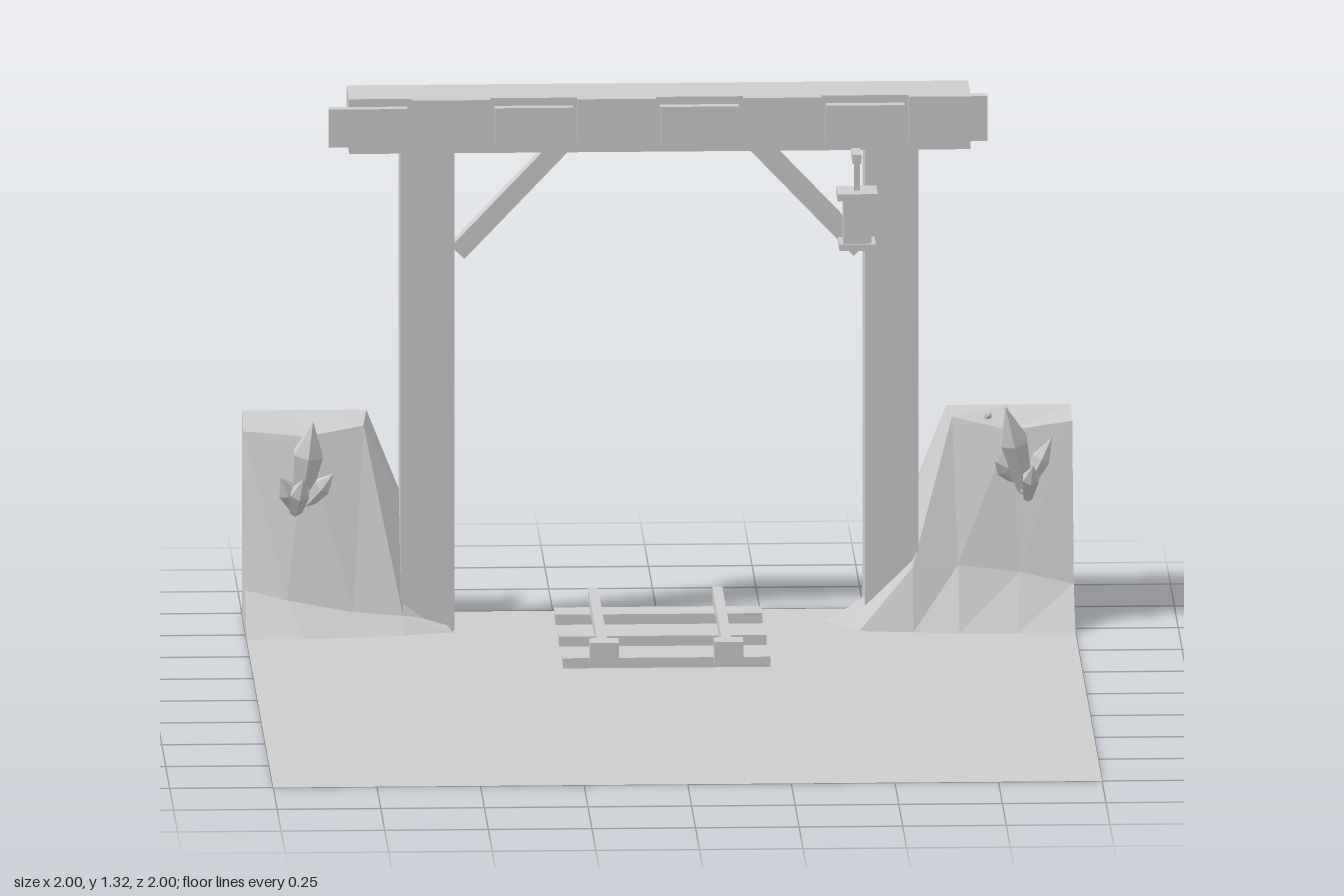
import * as THREE from 'three';

export function createModel() {
  const root = new THREE.Group();
  const stone = new THREE.MeshStandardMaterial({ color: 0xcccccc, flatShading: true, side: THREE.DoubleSide });
  stone.name = 'plain grey';

  const add = (name, geometry, parent = root) => {
    const mesh = new THREE.Mesh(geometry, stone);
    mesh.name = name;
    parent.add(mesh);
    return mesh;
  };
  const group = (name) => {
    const g = new THREE.Group();
    g.name = name;
    root.add(g);
    return g;
  };
  // box given by its limits on each axis
  const box = (name, [x0, x1], [y0, y1], [z0, z1], parent) => {
    const m = add(name, new THREE.BoxGeometry(x1 - x0, y1 - y0, z1 - z0), parent);
    m.position.set((x0 + x1) / 2, (y0 + y1) / 2, (z0 + z1) / 2);
    return m;
  };

  // rock cross-sections from the outer edge inward: back crest, front crest, lower slope, foot
  const leftRock = [
    [[1, 0.5, -1], [1, 0.48, -0.9], [1, 0.1, -0.8], [1, 0, -0.7]],
    [[0.85, 0.5, -1], [0.85, 0.46, -0.89], [0.87, 0.13, -0.8], [0.86, 0, -0.7]],
    [[0.7, 0.5, -1], [0.71, 0.49, -0.91], [0.72, 0.15, -0.79], [0.72, 0, -0.7]],
    [[0.6, 0.25, -1], [0.61, 0.27, -0.9], [0.61, 0.15, -0.77], [0.61, 0, -0.72]],
    [[0.5, 0, -1], [0.49, 0.04, -0.92], [0.49, 0.06, -0.8], [0.48, 0, -0.74]],
    [[0.5, 0, -1], [0.46, 0, -0.94], [0.42, 0, -0.9], [0.4, 0, -0.86]],
  ];
  const rightRock = [
    [[-1, 0.5, -1], [-1, 0.47, -0.9], [-1, 0.1, -0.8], [-1, 0, -0.7]],
    [[-0.88, 0.5, -1], [-0.85, 0.46, -0.88], [-0.9, 0.08, -0.77], [-0.86, 0, -0.7]],
    [[-0.7, 0.5, -1], [-0.71, 0.48, -0.91], [-0.74, 0.05, -0.77], [-0.72, 0, -0.71]],
    [[-0.6, 0.25, -1], [-0.61, 0.28, -0.9], [-0.62, 0.04, -0.77], [-0.62, 0, -0.73]],
    [[-0.5, 0, -1], [-0.5, 0.02, -0.92], [-0.52, 0.02, -0.8], [-0.5, 0, -0.76]],
  ];
  const makeRock = (name, rows) => {
    const pos = [];
    const quad = (a, b, c, d) => pos.push(...a, ...b, ...c, ...a, ...c, ...d);
    const floor = ([x, , z]) => [x, 0, z];
    for (let i = 0; i < rows.length - 1; i++) {
      for (let j = 0; j < 3; j++) quad(rows[i][j], rows[i][j + 1], rows[i + 1][j + 1], rows[i + 1][j]);
      // flat back
      const a = rows[i][0], b = rows[i + 1][0];
      quad(a, b, floor(b), floor(a));
    }
    // flat outer side
    for (let j = 0; j < 3; j++) {
      const a = rows[0][j], b = rows[0][j + 1];
      quad(a, floor(a), floor(b), b);
    }
    const g = new THREE.BufferGeometry();
    g.setAttribute('position', new THREE.Float32BufferAttribute(pos, 3));
    g.computeVertexNormals();
    add(name, g);
  };
  makeRock('leftRock', leftRock);
  makeRock('rightRock', rightRock);

  // ground, cut out around the feet of the rocks
  const feet = (rows) => rows.map((r) => r[3]);
  const outline = [
    [-1, 0, 1], [1, 0, 1], ...feet(leftRock), [0.5, 0, -1],
    [-0.5, 0, -1], ...feet(rightRock).reverse(),
  ].map(([x, , z]) => new THREE.Vector2(x, -z));
  add('ground', new THREE.ShapeGeometry(new THREE.Shape(outline)).rotateX(-Math.PI / 2));

  // gate frame
  const gate = group('gate');
  for (const s of [-1, 1]) {
    const side = s > 0 ? 'left' : 'right';
    const c = s * 0.56;
    box(side + 'Post', [c - 0.065, c + 0.065], [0, 1.18], [-0.92, -0.785], gate);
    const brace = add(side + 'Brace', new THREE.BoxGeometry(0.38, 0.045, 0.05), gate);
    brace.position.set(s * 0.355, 1.06, -0.85);
    brace.rotation.z = -s * 0.81;
  }
  box('beam', [-0.75, 0.75], [1.18, 1.315], [-0.93, -0.77], gate);
  for (let i = 0; i < 8; i++) {
    const x = -0.8 + i * 0.2;
    const lift = i % 2 ? 0.012 : 0;
    box('facingPlank', [x, x + 0.19], [1.202 + lift / 3, 1.296 + lift * 1.7], [-0.772, -0.742], gate);
  }

  // track
  const track = group('track');
  for (const z of [-0.88, -0.63, -0.38]) box('sleeper', [-0.25, 0.25], [0, 0.025], [z - 0.042, z + 0.042], track);
  for (const x of [-0.153, 0.147]) {
    box('rail', [x - 0.012, x + 0.012], [0.025, 0.057], [-1, -0.3], track);
    box('railStop', [x - 0.035, x + 0.035], [0.025, 0.08], [-0.31, -0.255], track);
  }

  // hanging lantern
  const lantern = group('lantern');
  box('lanternArm', [0.46, 0.482], [1.173, 1.195], [-0.725, -0.645], lantern);
  box('lanternHook', [0.464, 0.478], [1.1, 1.18], [-0.657, -0.643], lantern);
  box('lanternCap', [0.422, 0.52], [1.09, 1.107], [-0.7, -0.602], lantern);
  box('lanternBody', [0.437, 0.505], [0.98, 1.09], [-0.685, -0.615], lantern);
  box('lanternBase', [0.427, 0.515], [0.966, 0.982], [-0.695, -0.607], lantern);

  // pointed crystal running from its root to its tip
  const makeCrystal = (parent, from, to, radius) => {
    const a = new THREE.Vector3(...from), dir = new THREE.Vector3(...to).sub(a);
    const len = dir.length();
    const profile = [[0, 0], [radius * 0.55, 0.03 * len], [radius, 0.62 * len], [0, len]]
      .map(([r, y]) => new THREE.Vector2(r, y));
    const m = add('crystal', new THREE.LatheGeometry(profile, 6), parent);
    m.position.copy(a);
    m.quaternion.setFromUnitVectors(new THREE.Vector3(0, 1, 0), dir.normalize());
  };
  const clusters = {
    leftCrystals: [
      [[0.89, 0.3, -0.87], [0.835, 0.54, -0.79], 0.037],
      [[0.88, 0.31, -0.85], [0.95, 0.45, -0.86], 0.024],
      [[0.89, 0.3, -0.85], [0.9, 0.4, -0.76], 0.022],
      [[0.86, 0.34, -0.87], [0.81, 0.4, -0.81], 0.018],
      [[0.79, 0.48, -0.93], [0.805, 0.497, -0.925], 0.01],
    ],
    rightCrystals: [
      [[-0.865, 0.29, -0.86], [-0.835, 0.51, -0.82], 0.04],
      [[-0.87, 0.28, -0.85], [-0.915, 0.38, -0.79], 0.026],
      [[-0.86, 0.29, -0.85], [-0.785, 0.38, -0.83], 0.024],
      [[-0.88, 0.27, -0.85], [-0.86, 0.38, -0.765], 0.026],
    ],
  };
  for (const [name, list] of Object.entries(clusters)) {
    const g = group(name);
    for (const [from, to, r] of list) makeCrystal(g, from, to, r);
  }
  return root;
}
